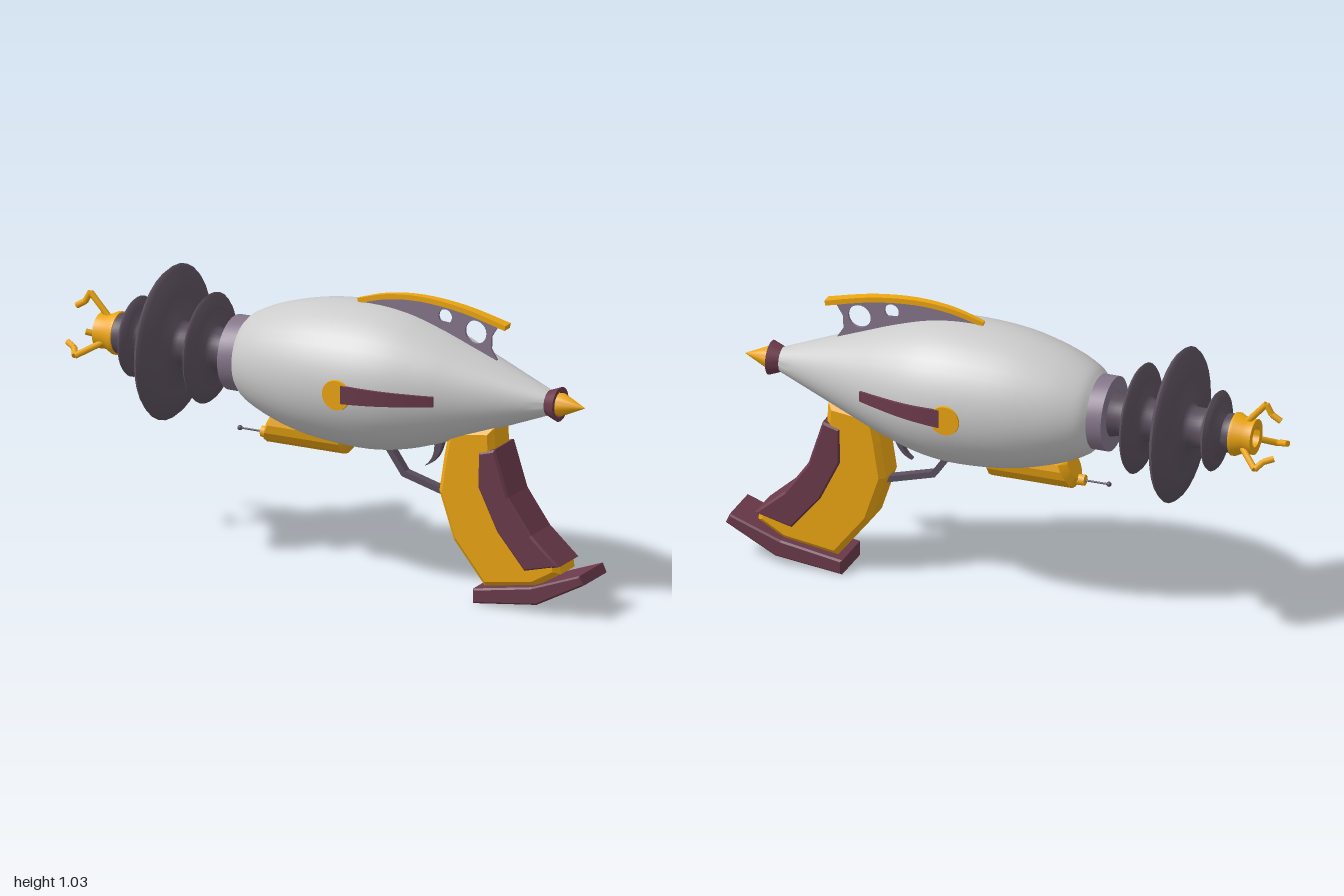
import * as THREE from 'three';
import { toCreasedNormals } from 'three/addons/utils/BufferGeometryUtils.js';

const AXIS = 0.727; // height of the barrel axis
const mat = (color) => new THREE.MeshStandardMaterial({ color, side: THREE.DoubleSide });
const V2 = (p) => new THREE.Vector2(p[0], p[1]);

export function createModel() {
  const model = new THREE.Group();
  model.name = 'rayGun';
  const grey = mat(0xcccccc), gold = mat(0xeba512), maroon = mat(0x6b3a4b);
  const mauve = mat(0x85768a), dark = mat(0x5a4f5c);

  const add = (name, geometry, material, parent = model) => {
    const mesh = new THREE.Mesh(geometry, material);
    mesh.name = name;
    parent.add(mesh);
    return mesh;
  };
  // Turned part along x; points are [x, radius]
  const turned = (points, segments = 32, crease = 0.6) => {
    const g = new THREE.LatheGeometry(points.map(([x, r]) => new THREE.Vector2(r, x)), segments);
    g.rotateZ(-Math.PI / 2);
    return toCreasedNormals(g, crease).translate(0, AXIS, 0);
  };
  // Side outline extruded across z, with an inset chamfer
  const plate = (shape, half, bevel = 0) => new THREE.ExtrudeGeometry(shape, {
    depth: 2 * (half - bevel), bevelEnabled: bevel > 0, bevelThickness: bevel,
    bevelSize: bevel, bevelOffset: -bevel, bevelSegments: 1, curveSegments: 16,
  }).translate(0, 0, bevel - half);
  const outline = (points) => new THREE.Shape(points.map(V2));
  // Straight round bar between two points
  const rod = (name, a, b, r, material, parent = model) => {
    const from = new THREE.Vector3(...a), to = new THREE.Vector3(...b);
    const dir = to.clone().sub(from);
    const mesh = add(name, new THREE.CylinderGeometry(r, r, dir.length(), 8), material, parent);
    mesh.position.copy(from).add(to).multiplyScalar(0.5);
    mesh.quaternion.setFromUnitVectors(new THREE.Vector3(0, 1, 0), dir.normalize());
    return mesh;
  };

  // Teardrop body
  const bodyCurve = new THREE.SplineCurve([
    [-0.335, 0.13], [-0.3, 0.16], [-0.2, 0.203], [-0.05, 0.24], [0.13, 0.253], [0.27, 0.24],
    [0.4, 0.203], [0.52, 0.158], [0.67, 0.1], [0.82, 0.042],
  ].map(V2));
  const bodyPoints = bodyCurve.getPoints(36);
  const bodyRadius = (x) => {
    const i = Math.max(1, bodyPoints.findIndex((p) => p.x >= x));
    const a = bodyPoints[i - 1], b = bodyPoints[i];
    return a.y + (b.y - a.y) * (x - a.x) / (b.x - a.x);
  };
  add('body', turned([[-0.335, 0], ...bodyPoints.map((p) => [p.x, p.y]), [0.82, 0]], 40), grey);
  add('collar', turned([[-0.39, 0], [-0.39, 0.13], [-0.33, 0.13], [-0.33, 0]]), mauve);

  // Barrel with three lens-shaped fins: [x, radius, half thickness]
  const barrel = [[-0.83, 0], [-0.83, 0.07], [-0.8, 0.066]];
  for (const [c, r, w] of [[-0.762, 0.14, 0.02], [-0.628, 0.27, 0.036], [-0.486, 0.192, 0.023]]) {
    const mid = 0.085 + (r - 0.085) * 0.5;
    barrel.push([c - w - 0.018, 0.07], [c - w, 0.082], [c - w * 0.8, mid], [c - w * 0.35, r * 0.96], [c, r],
      [c + w * 0.35, r * 0.96], [c + w * 0.8, mid], [c + w, 0.082], [c + w + 0.018, 0.07]);
  }
  barrel.push([-0.42, 0.07], [-0.385, 0.08]);
  add('barrel', turned(barrel, 32, 1.0), dark);

  // Hollow muzzle with three bent prongs
  add('muzzle', turned([[-0.82, 0.035], [-0.905, 0.035], [-0.905, 0.062], [-0.87, 0.06],
    [-0.84, 0.075], [-0.828, 0.075], [-0.828, 0.035]]), gold);
  const bend = [[-0.875, 0.055], [-0.943, 0.13], [-0.962, 0.095], [-0.995, 0.075]];
  for (let k = 0; k < 3; k++) {
    const prong = new THREE.Group();
    prong.name = 'prong';
    prong.position.y = AXIS;
    prong.rotation.x = k * Math.PI * 2 / 3;
    for (let i = 0; i < 3; i++) rod('prongSegment', [...bend[i], 0], [...bend[i + 1], 0], 0.011, gold, prong);
    model.add(prong);
  }

  // Tail ring and spike
  add('tailRing', turned([[0.81, 0], [0.81, 0.042], [0.857, 0.06], [0.857, 0.045], [0.835, 0.04], [0.835, 0]]), maroon);
  add('tailSpike', turned([[0.835, 0.038], [0.865, 0.04], [0.953, 0]], 24), gold);

  // Button and tapered strip on each side
  for (const side of [1, -1]) {
    const button = new THREE.CylinderGeometry(0.052, 0.058, 0.03, 28).rotateX(Math.PI / 2 * side);
    add('sideButton', button, gold).position.set(0.13, 0.722, side * 0.241);
    const strip = new THREE.BoxGeometry(1, 2, 1, 10, 1, 1);
    const p = strip.attributes.position;
    for (let i = 0; i < p.count; i++) {
      const t = p.getX(i) + 0.5, x = 0.15 + 0.315 * t;
      const z = bodyRadius(x) + (p.getZ(i) * side > 0 ? 0.008 : -0.025);
      p.setXYZ(i, x, 0.728 + p.getY(i) * (0.032 - 0.014 * t), side * z);
    }
    add('sideStrip', toCreasedNormals(strip, 0.5), maroon);
  }

  // Top fin with two holes, capped by a tapered arc
  const arc = new THREE.SplineCurve([[0.085, 0.982], [0.195, 1.014], [0.33, 1.026], [0.49, 1.011], [0.655, 0.972]].map(V2));
  const fin = new THREE.Shape([[0.1, 0.9], [0.61, 0.82], [0.615, 0.85], [0.593, 0.885], [0.595, 0.93], [0.625, 0.978]]
    .map(V2).concat(arc.getPoints(14).reverse().slice(1)));
  for (const [x, y, r] of [[0.418, 0.975, 0.026], [0.535, 0.937, 0.041]]) {
    fin.holes.push(new THREE.Path().absarc(x, y, r, 0, Math.PI * 2, true));
  }
  add('topFin', plate(fin, 0.005), mauve);
  const cap = new THREE.BoxGeometry(1, 1, 1, 16, 1, 1);
  const cp = cap.attributes.position;
  for (let i = 0; i < cp.count; i++) {
    const t = cp.getX(i) + 0.5, q = arc.getPoint(t), n = arc.getTangent(t);
    const h = cp.getY(i) * 0.018;
    cp.setXYZ(i, q.x - n.y * h, q.y + n.x * h, cp.getZ(i) * (0.016 + 0.024 * t));
  }
  add('finCap', toCreasedNormals(cap, 0.5), gold);

  // Pod under the body: faceted barrel flattened where it meets the hull
  const pod = turned([[-0.27, 0], [-0.27, 0.045], [-0.25, 0.08], [0.045, 0.08], [0.085, 0.03], [0.085, 0]], 16, 0.3);
  pod.translate(0, 0.512 - AXIS, 0);
  const pp = pod.attributes.position;
  for (let i = 0; i < pp.count; i++) {
    const y = Math.min(pp.getY(i), 0.535);
    pp.setXY(i, pp.getX(i) + (pp.getX(i) < -0.2 ? Math.max(0, y - 0.46) * 0.5 : 0), y);
  }
  add('underPod', toCreasedNormals(pod, 0.3), gold);
  rod('podNozzle', [-0.285, 0.46, 0], [-0.2, 0.46, 0], 0.02, gold);
  rod('antenna', [-0.37, 0.46, 0], [-0.28, 0.46, 0], 0.0035, dark);
  add('antennaTip', new THREE.SphereGeometry(0.009, 12, 8), dark).position.set(-0.37, 0.46, 0);

  // Trigger guard and trigger
  add('triggerGuard', plate(outline([[0.18, 0.495], [0.257, 0.386], [0.43, 0.338], [0.43, 0.36],
    [0.27, 0.404], [0.207, 0.495]]), 0.016), dark);
  const trigger = new THREE.Shape();
  trigger.moveTo(0.37, 0.56);
  trigger.quadraticCurveTo(0.4, 0.48, 0.342, 0.435);
  trigger.quadraticCurveTo(0.405, 0.455, 0.418, 0.56);
  add('trigger', plate(trigger, 0.012), dark);

  // Grip, wrapped back panel and butt plate
  add('grip', plate(outline([[0.46, 0.6], [0.44, 0.5], [0.42, 0.37], [0.475, 0.205], [0.595, 0.055], [0.79, 0.085],
    [0.885, 0.14], [0.88, 0.175], [0.77, 0.26], [0.68, 0.39], [0.635, 0.54], [0.63, 0.622]]), 0.07, 0.02), gold);
  add('gripPanel', plate(outline([[0.58, 0.535], [0.578, 0.41], [0.65, 0.262], [0.755, 0.137], [0.89, 0.172],
    [0.782, 0.268], [0.695, 0.39], [0.643, 0.553]]), 0.076, 0.008), maroon);
  add('buttPlate', plate(outline([[0.567, 0.052], [0.567, 0], [0.81, 0.03], [0.99, 0.125], [0.975, 0.158],
    [0.79, 0.09]]), 0.09, 0.006), maroon);

  return model;
}
